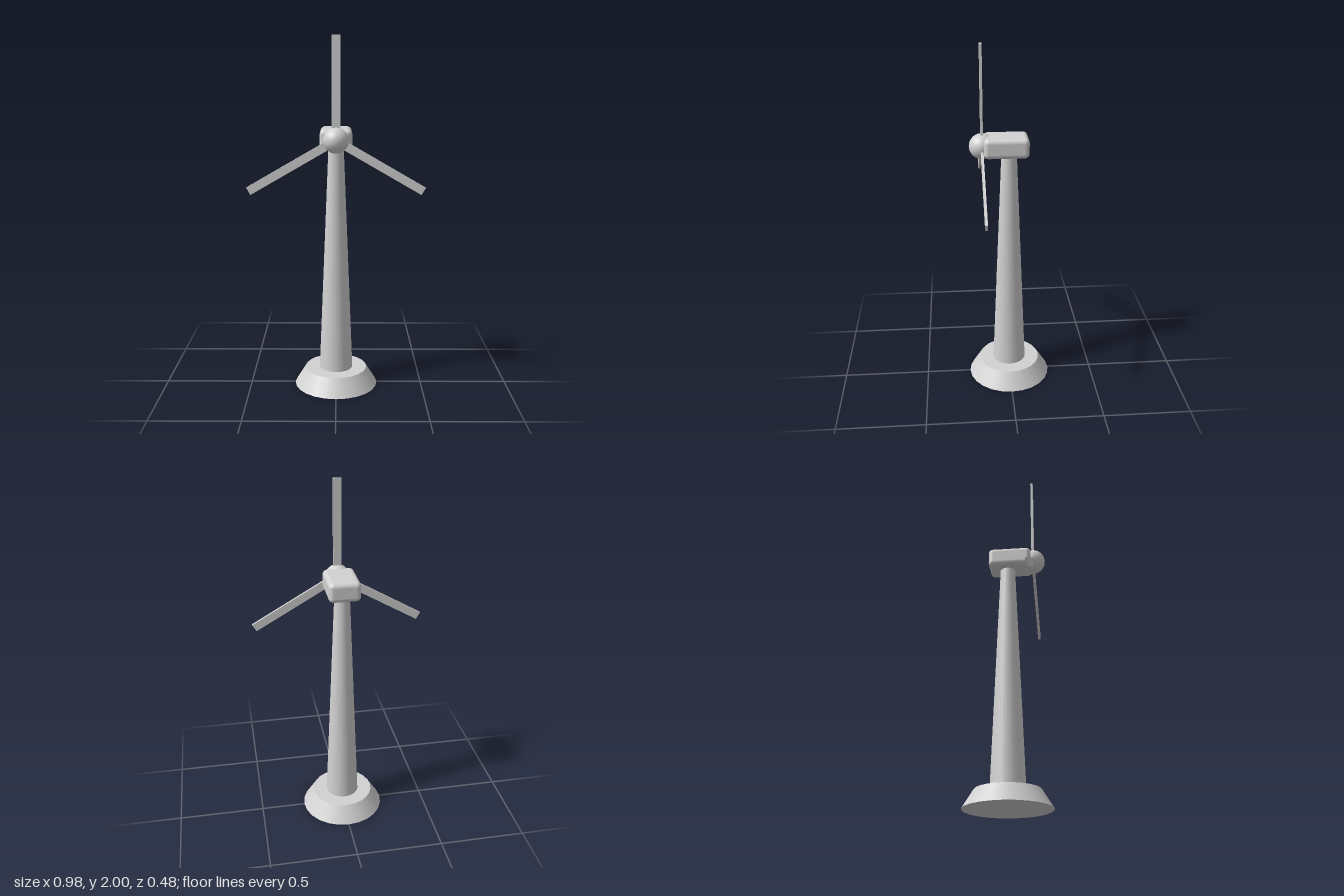
import * as THREE from 'three';
import { RoundedBoxGeometry } from 'three/addons/geometries/RoundedBoxGeometry.js';

export function createModel() {
  const model = new THREE.Group();
  model.name = 'windTurbine';
  const lightGrey = new THREE.MeshStandardMaterial({ color: 0xd2d2d2 });
  lightGrey.name = 'lightGrey';

  const add = (parent, name, geometry, x, y, z) => {
    const mesh = new THREE.Mesh(geometry, lightGrey);
    mesh.name = name;
    mesh.position.set(x, y, z);
    parent.add(mesh);
    return mesh;
  };

  // Sloped foundation and tapering tower
  add(model, 'foundation', new THREE.CylinderGeometry(0.178, 0.24, 0.1, 24), 0, 0.05, 0);
  add(model, 'tower', new THREE.CylinderGeometry(0.042, 0.096, 1.32, 24), 0, 0.76, 0);

  // Rounded housing on top of the tower
  add(model, 'nacelle', new RoundedBoxGeometry(0.176, 0.112, 0.247, 4, 0.027), 0, 1.452, 0.017);

  // Rotor: round hub with three flat blades
  const rotor = new THREE.Group();
  rotor.name = 'rotor';
  rotor.position.set(0, 1.45, 0.149);
  model.add(rotor);
  add(rotor, 'hub', new THREE.SphereGeometry(0.07, 32, 20), 0, 0, 0);

  const bladeLength = 0.55;
  const bladeGeometry = new THREE.BoxGeometry(0.046, bladeLength, 0.014);
  bladeGeometry.translate(0, bladeLength / 2, 0);
  for (let i = 0; i < 3; i++) {
    add(rotor, `blade${i + 1}`, bladeGeometry, 0, 0, 0).rotation.z = (i * Math.PI * 2) / 3;
  }

  return model;
}
